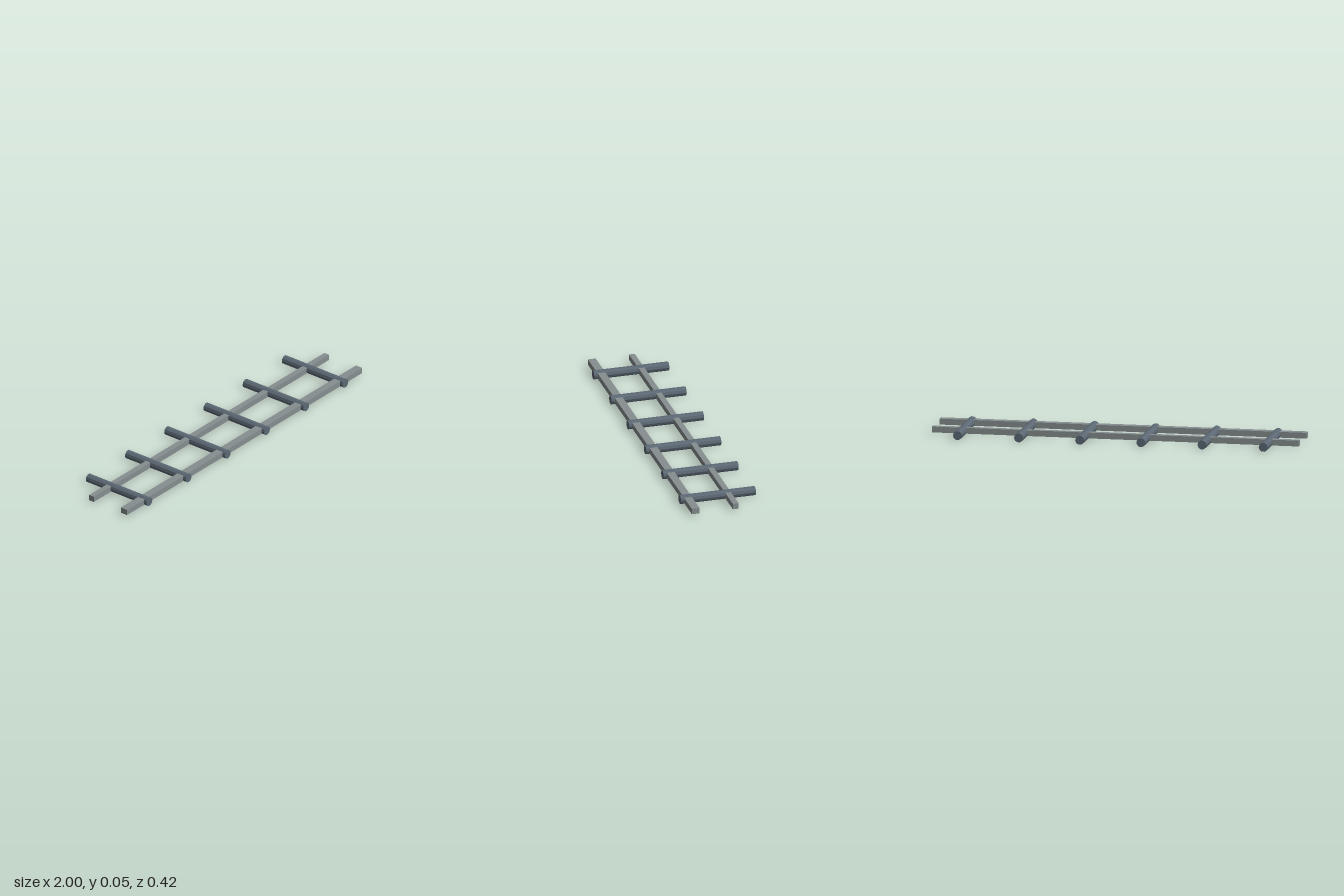
import * as THREE from 'three';

export function createModel() {
  const group = new THREE.Group();
  const railMaterial = new THREE.MeshStandardMaterial({ color: 0x868e90, flatShading: true });
  const rungMaterial = new THREE.MeshStandardMaterial({ color: 0x5c6874, flatShading: true });
  const radius = 0.0247;
  const centreY = radius * Math.sin(Math.PI * 0.4);

  // Two long square rails, the front one wider
  const addRail = (name, z, width) => {
    const rail = new THREE.Mesh(new THREE.BoxGeometry(2, 0.0315, width), railMaterial);
    rail.name = name;
    rail.position.set(0, centreY, z);
    group.add(rail);
  };
  addRail('frontRail', 0.168, 0.043);
  addRail('backRail', -0.055, 0.032);

  // Six ten-sided crossbars, each with a corner pointing to either side
  const barGeometry = new THREE.CylinderGeometry(radius, radius, 0.418, 10, 1, false, Math.PI / 2);
  barGeometry.rotateX(Math.PI / 2);
  for (let i = 0; i < 6; i++) {
    const bar = new THREE.Mesh(barGeometry, rungMaterial);
    bar.name = `crossbar${i + 1}`;
    bar.position.set((i - 2.5) / 3, centreY, 0);
    group.add(bar);
  }
  return group;
}
